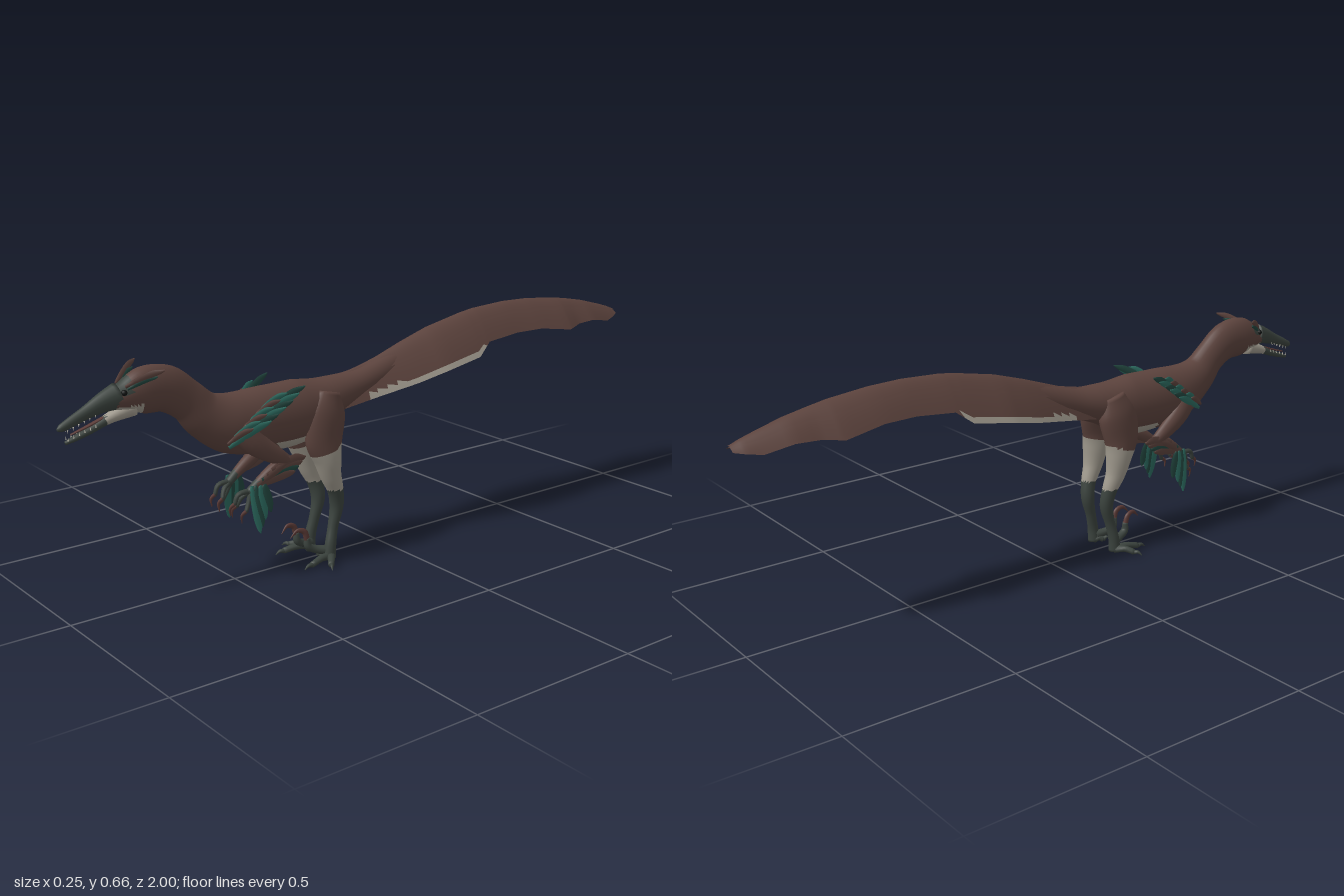
import * as THREE from 'three';

const mat = (name, color, side = THREE.FrontSide) => {
  const m = new THREE.MeshStandardMaterial({ color, side });
  m.name = name;
  return m;
};

export function createModel() {
  const brown = mat('brown plumage', 0x5c433d, THREE.DoubleSide);
  const pale = mat('pale down', 0xa09a8e, THREE.DoubleSide);
  const dark = mat('dark scales', 0x3b433e);
  const teal = mat('teal feathers', 0x2c6b60);
  const deep = mat('deep green feathers', 0x22463f);
  const claw = mat('claw', 0x5a3a36);
  const black = mat('eye black', 0x101312);
  const ivory = mat('ivory', 0xc9c4b6);
  const model = new THREE.Group();

  // Indexed faces sorted into one geometry group per material
  function build(name, pos, tris, mats, paint) {
    const buckets = mats.map(() => []);
    for (const t of tris) {
      const mid = [0, 1, 2].map(k => (pos[t[0] * 3 + k] + pos[t[1] * 3 + k] + pos[t[2] * 3 + k]) / 3);
      buckets[paint ? paint(...mid) : 0].push(...t);
    }
    const g = new THREE.BufferGeometry();
    g.setAttribute('position', new THREE.Float32BufferAttribute(pos, 3));
    g.setIndex(buckets.flat());
    let start = 0;
    buckets.forEach((b, i) => { g.addGroup(start, b.length, i); start += b.length; });
    g.computeVertexNormals();
    const mesh = new THREE.Mesh(g, mats.length > 1 ? mats : mats[0]);
    mesh.name = name;
    model.add(mesh);
    return mesh;
  }

  // Smooth limb through rows of [x, y, z, half width, half depth]
  function loft(name, rows, mats, { steps = 16, sides = 12, paint } = {}) {
    const path = new THREE.CatmullRomCurve3(rows.map(r => new THREE.Vector3(r[0], r[1], r[2])));
    const size = new THREE.CatmullRomCurve3(rows.map((r, i) => new THREE.Vector3(r[3], r[4], i * 0.02)));
    const pos = [], tris = [];
    for (let i = 0; i <= steps; i++) {
      const c = path.getPoint(i / steps), s = size.getPoint(i / steps), t = path.getTangent(i / steps);
      const u = new THREE.Vector3(1, 0, 0).addScaledVector(t, -t.x).normalize();
      const v = new THREE.Vector3().crossVectors(t, u);
      for (let j = 0; j < sides; j++) {
        const a = j / sides * Math.PI * 2;
        const p = c.clone().addScaledVector(u, Math.cos(a) * Math.max(s.x, 0.0004))
          .addScaledVector(v, Math.sin(a) * Math.max(s.y, 0.0004));
        pos.push(p.x, p.y, p.z);
        if (i < steps) {
          const k = (j + 1) % sides, o = i * sides;
          tris.push([o + j, o + k, o + sides + k], [o + j, o + sides + k, o + sides + j]);
        }
      }
    }
    const first = pos.length / 3, end = steps * sides;
    pos.push(...path.getPoint(0).toArray(), ...path.getPoint(1).toArray());
    for (let j = 0; j < sides; j++) {
      const k = (j + 1) % sides;
      tris.push([first, k, j], [first + 1, end + j, end + k]);
    }
    return build(name, pos, tris, [mats].flat(), paint);
  }

  // Thin leaf-shaped feather bowed slightly along its length
  function feather(name, a, b, width, m) {
    const at = (t, w, bow = 0) => [...a.map((v, i) => v + (b[i] - v) * t + (i === 1 ? bow : 0)), 0.003, w];
    loft(name, [at(0, width * 0.4), at(0.3, width * 0.9, 0.003), at(0.7, width, 0.004), at(0.92, width * 0.5), at(1, 0.001)],
      m, { steps: 10, sides: 6 });
  }

  // Head, neck, trunk and tail core
  loft('body', [
    [0, 0.58, 0.865, 0.021, 0.022], [0, 0.582, 0.82, 0.031, 0.038], [0, 0.589, 0.76, 0.038, 0.062],
    [0, 0.583, 0.695, 0.038, 0.062], [0, 0.54, 0.63, 0.038, 0.056], [0, 0.492, 0.58, 0.046, 0.065],
    [0, 0.456, 0.5, 0.062, 0.085], [0, 0.448, 0.4, 0.068, 0.093], [0, 0.45, 0.28, 0.068, 0.093],
    [0, 0.472, 0.18, 0.058, 0.062], [0, 0.492, 0.08, 0.044, 0.046], [0, 0.53, -0.05, 0.038, 0.042],
    [0, 0.583, -0.2, 0.032, 0.035], [0, 0.626, -0.4, 0.024, 0.025], [0, 0.636, -0.6, 0.017, 0.018],
    [0, 0.618, -0.8, 0.01, 0.01], [0, 0.586, -0.95, 0.004, 0.004],
  ], [brown, pale, dark], {
    steps: 110, sides: 28,
    paint: (x, y, z) => z > 0.8 && y > 0.592 ? 2 : z > 0.77 && y < 0.56 ? 1
      : z > 0.1 && z < 0.38 && y < 0.392 ? 1 : 0,
  });

  // Jaws
  loft('snout', [[0, 0.586, 0.83, 0.03, 0.036], [0, 0.576, 0.87, 0.022, 0.027], [0, 0.557, 0.92, 0.015, 0.018],
    [0, 0.541, 0.96, 0.012, 0.014], [0, 0.529, 0.99, 0.009, 0.01], [0, 0.526, 1, 0.003, 0.004]], dark, { steps: 20, sides: 16 });
  loft('lowerJaw', [[0, 0.55, 0.79, 0.024, 0.024], [0, 0.531, 0.86, 0.016, 0.014], [0, 0.511, 0.91, 0.012, 0.01],
    [0, 0.498, 0.95, 0.01, 0.008], [0, 0.489, 0.98, 0.006, 0.005]], [dark, pale],
    { steps: 20, sides: 14, paint: (x, y, z) => z < 0.87 ? 1 : 0 });
  loft('tongue', [[0, 0.541, 0.86, 0.008, 0.003], [0, 0.521, 0.92, 0.007, 0.003], [0, 0.508, 0.965, 0.004, 0.002]], claw, { steps: 6, sides: 8 });

  // Roof-shaped tail fan: rows of [z, ridge height, edge height, half width]
  const fan = [[0.14, 0.525, 0.44, 0.04], [0.03, 0.548, 0.46, 0.055], [-0.1, 0.592, 0.485, 0.08],
    [-0.2, 0.622, 0.508, 0.094], [-0.33, 0.648, 0.53, 0.09], [-0.38, 0.655, 0.567, 0.075],
    [-0.5, 0.661, 0.578, 0.071], [-0.6, 0.658, 0.578, 0.076], [-0.72, 0.646, 0.56, 0.085],
    [-0.78, 0.636, 0.568, 0.065], [-0.85, 0.622, 0.57, 0.06], [-0.93, 0.6, 0.555, 0.048],
    [-0.97, 0.588, 0.561, 0.035], [-1, 0.576, 0.567, 0.02]];
  function tailFan(name, reach, lift) {
    const pos = [], tris = [], cols = 24, fine = 4, rows = (fan.length - 1) * fine;
    for (let i = 0; i <= rows; i++) {
      const k = Math.min(Math.floor(i / fine), fan.length - 2), f = i / fine - k;
      const [z, top, low, w] = fan[k].map((v, n) => v + (fan[k + 1][n] - v) * f);
      for (let j = 0; j <= cols; j++) {
        const s = (j / cols * 2 - 1) * reach;
        pos.push(w * s, top + lift + (low - top) * Math.abs(s) ** 1.7, z);
        if (i < rows && j < cols) {
          const a = i * (cols + 1) + j, d = a + cols + 1;
          tris.push([a, a + 1, d + 1], [a, d + 1, d]);
        }
      }
    }
    build(name, pos, tris, [brown, pale], (x, y, z) => {
      const edge = fan.findIndex(r => r[0] < z), [z1, , l1] = fan[edge], [z0, , l0] = fan[edge - 1];
      const low = l0 + (l1 - l0) * (z - z0) / (z1 - z0);
      return reach === 1 && z > -0.36 && z < 0.05 && y < low + 0.018 ? 1 : 0;
    });
  }
  tailFan('tailFan', 1, 0);
  tailFan('tailCoverts', 0.55, 0.004);

  for (const [side, s] of [['left', 1], ['right', -1]]) {
    const P = (x, ...rest) => [x * s, ...rest];
    const part = (name, rows, m, o) => loft(side + name, rows.map(r => P(...r)), m, o);
    const plume = (name, a, b, w, m) => feather(side + name, P(...a), P(...b), w, m);

    // Eye, teeth and head crest
    const eye = new THREE.Mesh(new THREE.SphereGeometry(0.008, 12, 8), black);
    eye.position.set(0.027 * s, 0.598, 0.825);
    eye.name = side + 'Eye';
    model.add(eye);
    for (let i = 0; i < 6; i++) {
      for (const up of [true, false]) {
        const tooth = new THREE.Mesh(new THREE.ConeGeometry(0.002, 0.009, 5), ivory);
        const z = 0.9 + i * 0.015;
        tooth.position.set((0.011 - i * 0.0009) * s, up ? 0.546 - i * 0.0055 : 0.522 - i * 0.0045, z);
        tooth.rotation.x = up ? Math.PI : 0;
        tooth.name = side + (up ? 'UpperTooth' : 'LowerTooth');
        model.add(tooth);
      }
    }
    plume('CrestFeather', [0.026, 0.612, 0.82], [0.08, 0.654, 0.735], 0.01, brown);
    plume('CrestFeatherLow', [0.028, 0.606, 0.815], [0.066, 0.636, 0.75], 0.008, deep);

    // Leg
    part('Leg', [[0.035, 0.5, 0.2, 0.03, 0.04], [0.045, 0.44, 0.215, 0.037, 0.066], [0.052, 0.37, 0.225, 0.034, 0.061],
      [0.055, 0.31, 0.215, 0.034, 0.043], [0.054, 0.26, 0.204, 0.028, 0.032], [0.05, 0.21, 0.185, 0.022, 0.024],
      [0.045, 0.16, 0.178, 0.02, 0.021], [0.046, 0.1, 0.192, 0.015, 0.016], [0.05, 0.05, 0.204, 0.016, 0.017],
      [0.05, 0.01, 0.208, 0.018, 0.019]], [brown, pale, dark],
      { steps: 60, sides: 18, paint: (x, y, z) => y > 0.34 + (0.22 - z) * 0.3 ? 0 : y > 0.215 ? 1 : 2 });

    // Toes, each with a hooked claw
    const toe = (name, a, b, c) => {
      const mid = a.map((v, i) => (v + b[i]) / 2 + (i === 1 ? 0.006 : 0));
      part(name + 'Toe', [[...a, 0.013, 0.012], [...mid, 0.011, 0.01], [...b, 0.009, 0.009]], dark, { steps: 8, sides: 10 });
      const arch = b.map((v, i) => (v + c[i]) / 2 + (i === 1 ? 0.005 : 0));
      part(name + 'Claw', [[...b, 0.007, 0.007], [...arch, 0.005, 0.005], [...c, 0.001, 0.001]], dark, { steps: 6, sides: 8 });
    };
    toe('Middle', [0.052, 0.014, 0.205], [0.07, 0.011, 0.285], [0.073, 0.003, 0.312]);
    toe('Outer', [0.055, 0.014, 0.205], [0.104, 0.011, 0.242], [0.126, 0.004, 0.254]);
    toe('Inner', [0.046, 0.014, 0.205], [0.027, 0.014, 0.228], [0.014, 0.022, 0.24]);
    part('SickleToe', [[0.042, 0.03, 0.21, 0.014, 0.014], [0.031, 0.038, 0.245, 0.012, 0.012],
      [0.027, 0.052, 0.268, 0.012, 0.011], [0.027, 0.078, 0.27, 0.008, 0.009]], dark, { sides: 10 });
    part('SickleClaw', [[0.027, 0.07, 0.27, 0.008, 0.009], [0.027, 0.098, 0.28, 0.006, 0.009],
      [0.025, 0.105, 0.302, 0.004, 0.006], [0.022, 0.086, 0.325, 0.001, 0.001]], claw, { sides: 10 });

    // Arm folded back at the elbow
    part('UpperArm', [[0.045, 0.45, 0.5, 0.022, 0.04], [0.056, 0.4, 0.455, 0.022, 0.034],
      [0.061, 0.355, 0.39, 0.018, 0.024], [0.061, 0.335, 0.355, 0.014, 0.015]], brown, { sides: 14 });
    part('Forearm', [[0.061, 0.34, 0.352, 0.013, 0.014], [0.059, 0.318, 0.4, 0.016, 0.02],
      [0.055, 0.288, 0.45, 0.013, 0.014], [0.052, 0.265, 0.48, 0.012, 0.012]], [brown, dark],
      { sides: 12, paint: (x, y, z) => z > 0.455 ? 1 : 0 });
    [[0.036, 0.228, 0.51], [0.05, 0.24, 0.525], [0.06, 0.215, 0.495]].forEach(([x, y, z], i) => {
      part('Finger' + i, [[0.052, 0.27, 0.472, 0.009, 0.009], [(x + 0.052) / 2, y + 0.026, z - 0.012, 0.007, 0.007],
        [x, y, z, 0.006, 0.006]], dark, { steps: 8, sides: 8 });
      part('FingerClaw' + i, [[x, y + 0.002, z, 0.005, 0.006], [x - 0.001, y - 0.008, z + 0.013, 0.003, 0.005],
        [x - 0.003, y - 0.03, z + 0.012, 0.001, 0.001]], claw, { steps: 8, sides: 8 });
    });

    // Forearm plumes sweeping to the elbow, and hand plumes hanging down
    for (let i = 0; i < 4; i++) {
      plume('ForearmFeather', [0.064 + i * 0.002, 0.285 + i * 0.012, 0.46 - i * 0.015],
        [0.074, 0.305 + i * 0.012, 0.34 - i * 0.012], 0.017, i === 1 ? deep : brown);
    }
    for (let i = 0; i < 4; i++) {
      plume('HandFeather', [0.061 + i * 0.002, 0.285, 0.475 - i * 0.012],
        [0.079 - i * 0.002, 0.152 + i * 0.017, 0.462 - i * 0.01 + (i === 3 ? -0.01 : 0)], 0.015, i % 2 ? deep : teal);
    }

    // Shoulder fan in two overlapping layers
    for (let i = 0; i < 6; i++) {
      const y = 0.405 + i * 0.016, z = 0.54 - i * 0.022;
      plume('ShoulderFeather', [0.056 + i * 0.001, y, z], [0.098 - Math.abs(i - 3) * 0.003, y + 0.062, z - 0.115], 0.012, i % 2 ? deep : teal);
      plume('ShoulderCovert', [0.058, y + 0.012, z + 0.005], [0.085, y + 0.05, z - 0.06], 0.009, i % 2 ? teal : brown);
    }
  }
  return model;
}
